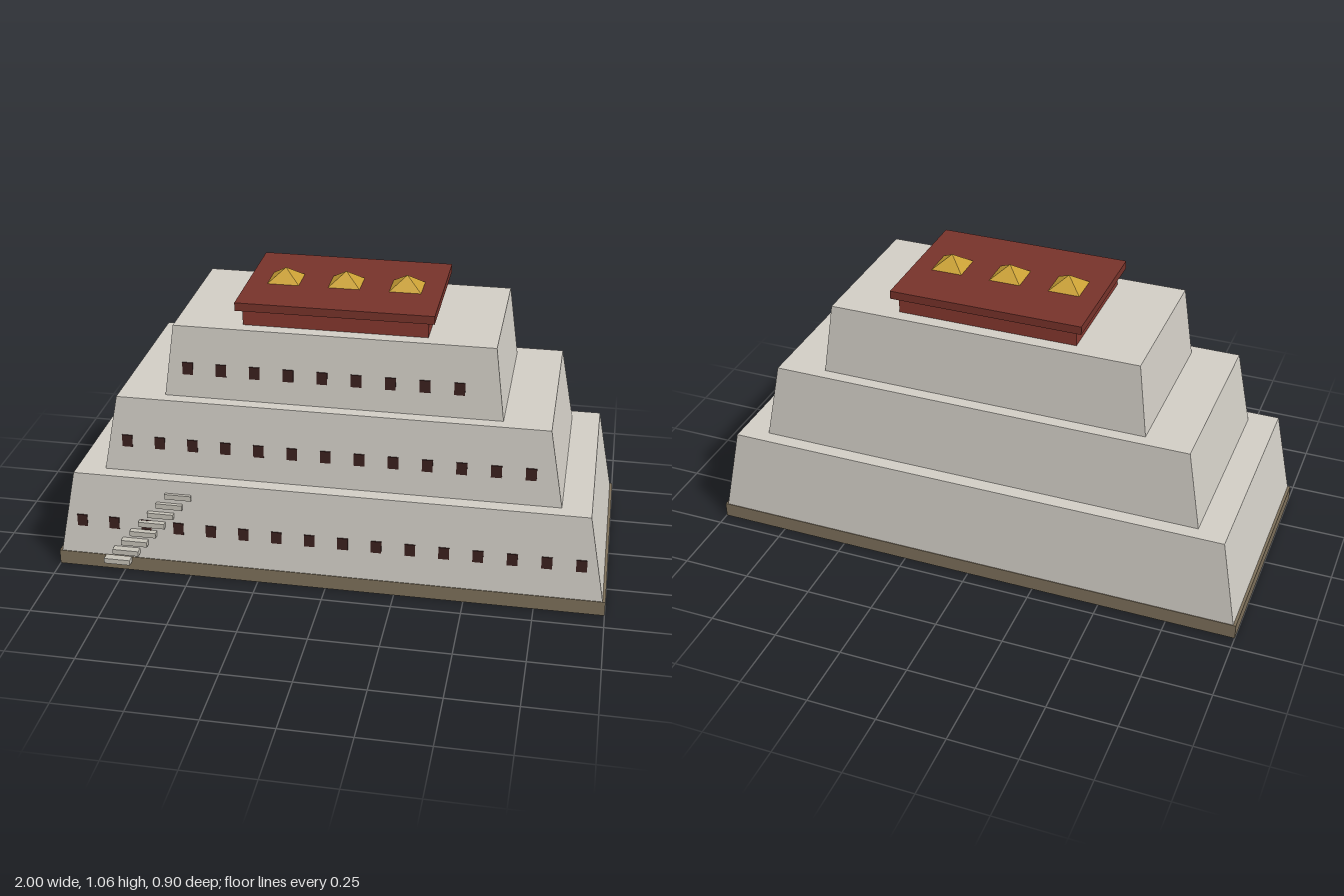
import * as THREE from 'three';

const mat = (name, color) => {
  const m = new THREE.MeshStandardMaterial({ color });
  m.name = name;
  return m;
};

export function createModel() {
  const wall = mat('pale stone', 0xd0ccc4);
  const stair = mat('stair stone', 0xc4c0b6);
  const earth = mat('brown earth', 0x7c6f5a);
  const red = mat('red wall', 0x84372e);
  const roofRed = mat('dark red roof', 0x76322a);
  const gold = mat('gold', 0xc9a035);
  const dark = mat('dark window', 0x3a201e);

  const group = new THREE.Group();
  const CZ = -0.0125; // the building sits slightly behind the staircase

  const add = (name, geometry, material, x, y, z) => {
    const mesh = new THREE.Mesh(geometry, material);
    mesh.name = name;
    mesh.position.set(x, y, z);
    group.add(mesh);
    return mesh;
  };

  // Box given by its bottom and top height, width and depth
  const slab = (name, material, y0, y1, w, d) =>
    add(name, new THREE.BoxGeometry(w, y1 - y0, d), material, 0, (y0 + y1) / 2, CZ);

  // Box whose top face is pulled in to give battered walls
  const taperedBox = (w, d, topW, topD, h) => {
    const g = new THREE.BoxGeometry(w, h, d);
    const p = g.attributes.position;
    for (let i = 0; i < p.count; i++) {
      if (p.getY(i) > 0) {
        p.setX(i, Math.sign(p.getX(i)) * topW / 2);
        p.setZ(i, Math.sign(p.getZ(i)) * topD / 2);
      }
    }
    g.computeVertexNormals();
    return g;
  };

  slab('foundation', earth, 0, 0.055, 2, 0.875);

  // Three tiers, each with a row of windows across the front
  const tiers = [
    { y0: 0.055, y1: 0.375, w: 1.98, d: 0.87, tw: 1.86, td: 0.825, n: 16, x0: -0.905, wy: 0.187 },
    { y0: 0.375, y1: 0.66, w: 1.65, d: 0.722, tw: 1.546, td: 0.682, n: 13, x0: -0.738, wy: 0.492 },
    { y0: 0.66, y1: 0.925, w: 1.208, d: 0.592, tw: 1.138, td: 0.557, n: 9, x0: -0.519, wy: 0.767 },
  ];
  const winH = 0.046;
  const winGeo = new THREE.BoxGeometry(0.038, winH, 0.009);
  tiers.forEach((t, k) => {
    const h = t.y1 - t.y0;
    add('tier' + (k + 1), taperedBox(t.w, t.d, t.tw, t.td, h), wall, 0, t.y0 + h / 2, CZ);
    const f = (t.wy - winH / 2 - t.y0) / h;
    const front = CZ + (t.d + (t.td - t.d) * f) / 2;
    for (let i = 0; i < t.n; i++) {
      add('window', winGeo, dark, t.x0 + i * 0.1209, t.wy, front + 0.001 - 0.0045);
    }
  });

  // Red upper hall and overhanging roof
  slab('upperHall', red, 0.925, 0.985, 0.656, 0.46);
  slab('roof', roofRed, 0.985, 1.015, 0.702, 0.505);

  // Gold roof pyramids
  const pyramid = new THREE.ConeGeometry(0.057 * Math.SQRT2, 0.045, 4, 1).toNonIndexed();
  pyramid.rotateY(Math.PI / 4);
  pyramid.computeVertexNormals();
  for (const x of [-0.22, 0, 0.22]) add('roofPyramid', pyramid, gold, x, 1.0375, CZ);

  // Side staircase climbing the lowest tier
  const stepGeo = new THREE.BoxGeometry(0.097, 0.02, 0.05);
  for (let i = 0; i < 8; i++) {
    add('step', stepGeo, stair, -0.772 + i * 0.0331, 0.045 + i * 0.0386, 0.428 - i * 0.0055);
  }

  return group;
}
